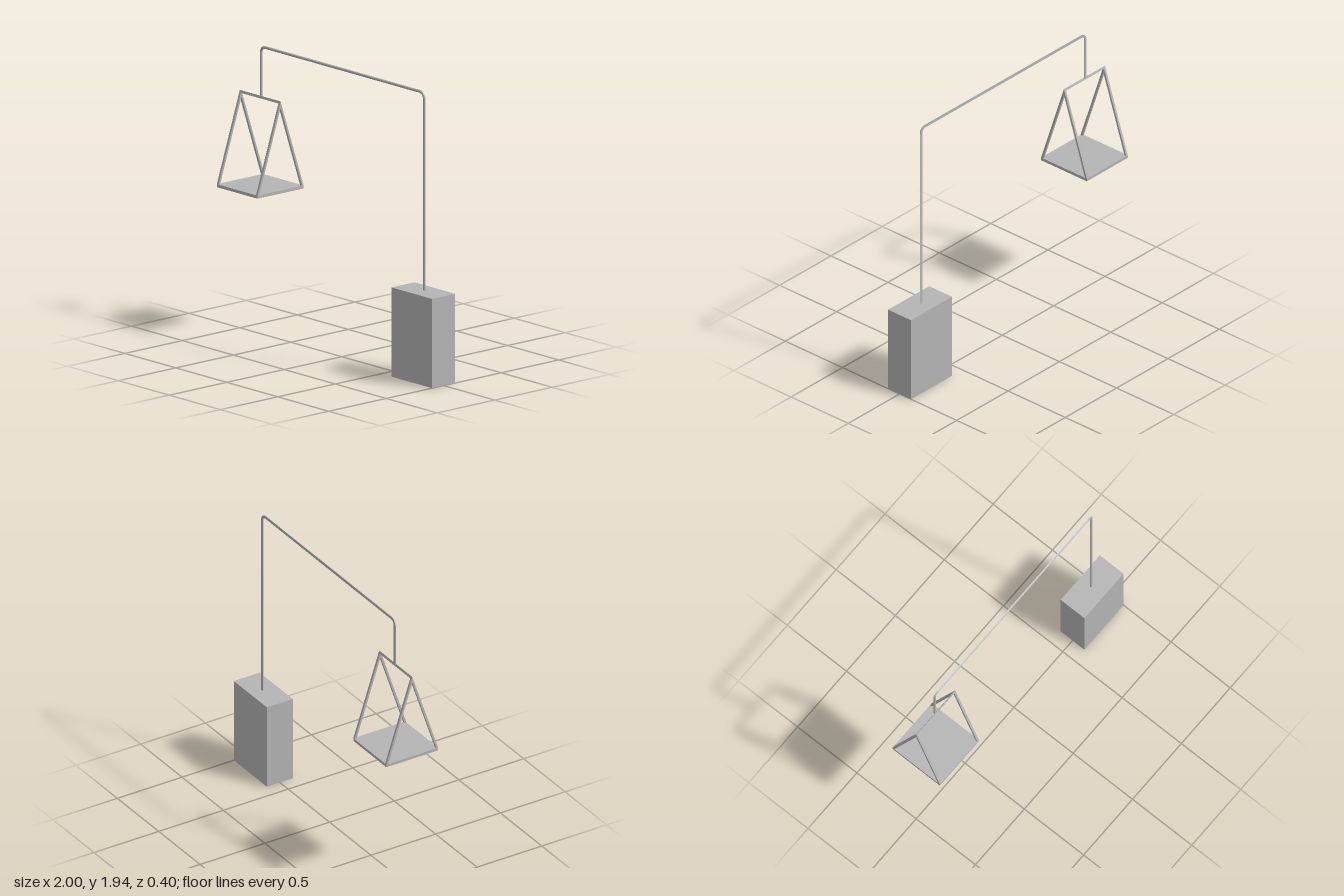
import * as THREE from 'three';

const BAR = 0.016; // width of the hanger bars

export function createModel() {
  const group = new THREE.Group();
  const grey = new THREE.MeshStandardMaterial({ color: 0xb4b4b4 });
  grey.name = 'grey';

  const add = (name, geometry, x = 0, y = 0, z = 0) => {
    const mesh = new THREE.Mesh(geometry, grey);
    mesh.name = name;
    mesh.position.set(x, y, z);
    group.add(mesh);
  };

  // Extrudes a (z, y) outline along x, centred on x = 0
  const prism = (outline, width) => {
    const shape = new THREE.Shape(outline.map(([z, y]) => new THREE.Vector2(z, y)));
    return new THREE.ExtrudeGeometry(shape, { depth: width, bevelEnabled: false })
      .translate(0, 0, -width / 2)
      .rotateY(-Math.PI / 2);
  };

  // Counterweight block and hanging tray
  add('counterweight', new THREE.BoxGeometry(0.4, 0.6, 0.2), 0.8, 0.3, 0);
  add('tray', new THREE.BoxGeometry(0.4, 0.02, 0.4), -0.8, 0.99, 0);

  // A-frames at both ends of the tray, joined by a ridge bar
  const aFrame = [[-0.2, 1], [-0.185, 1], [0, 1.555], [0.185, 1], [0.2, 1], [0, 1.6]];
  add('leftHangerFrame', prism(aFrame, BAR), -0.6 - BAR / 2);
  add('rightHangerFrame', prism(aFrame, BAR), -1 + BAR / 2);
  const ridge = [[-0.0055, 1.5835], [0.0055, 1.5835], [0, 1.6]];
  add('ridgeBar', prism(ridge, 0.4 - 2 * BAR), -0.8);

  add('bentPole', bentPole());
  return group;
}

// Half-round rod, flat at the back, swept up, across and down with rounded bends
function bentPole() {
  const r = 0.01, bend = 0.04, top = 1.93, steps = 8, sides = 6;
  const path = [[0.8, 0.6, 0]]; // x, y, angle of the outward side
  for (const [cx, start] of [[0.8 - bend, 0], [-0.8 + bend, Math.PI / 2]]) {
    for (let i = 0; i <= steps; i++) {
      const a = start + (i / steps) * Math.PI / 2;
      path.push([cx + bend * Math.cos(a), top - bend + bend * Math.sin(a), a]);
    }
  }
  path.push([-0.8, 1.597, Math.PI]);

  const n = sides + 1, positions = [], index = [];
  path.forEach(([x, y, a], ring) => {
    for (let j = 0; j < n; j++) {
      const t = (j / sides) * Math.PI, o = r * Math.cos(t);
      positions.push(x + o * Math.cos(a), y + o * Math.sin(a), r * Math.sin(t) - r);
      if (ring === path.length - 1) continue;
      const p = ring * n + j, q = ring * n + (j + 1) % n;
      index.push(p, p + n, q, q, p + n, q + n);
    }
  });
  // End caps
  const last = (path.length - 1) * n;
  for (let j = 1; j < sides; j++) {
    index.push(0, j, j + 1, last, last + j + 1, last + j);
  }

  const indexed = new THREE.BufferGeometry();
  indexed.setAttribute('position', new THREE.Float32BufferAttribute(positions, 3));
  indexed.setIndex(index);
  const geometry = indexed.toNonIndexed();
  geometry.computeVertexNormals();
  return geometry;
}
